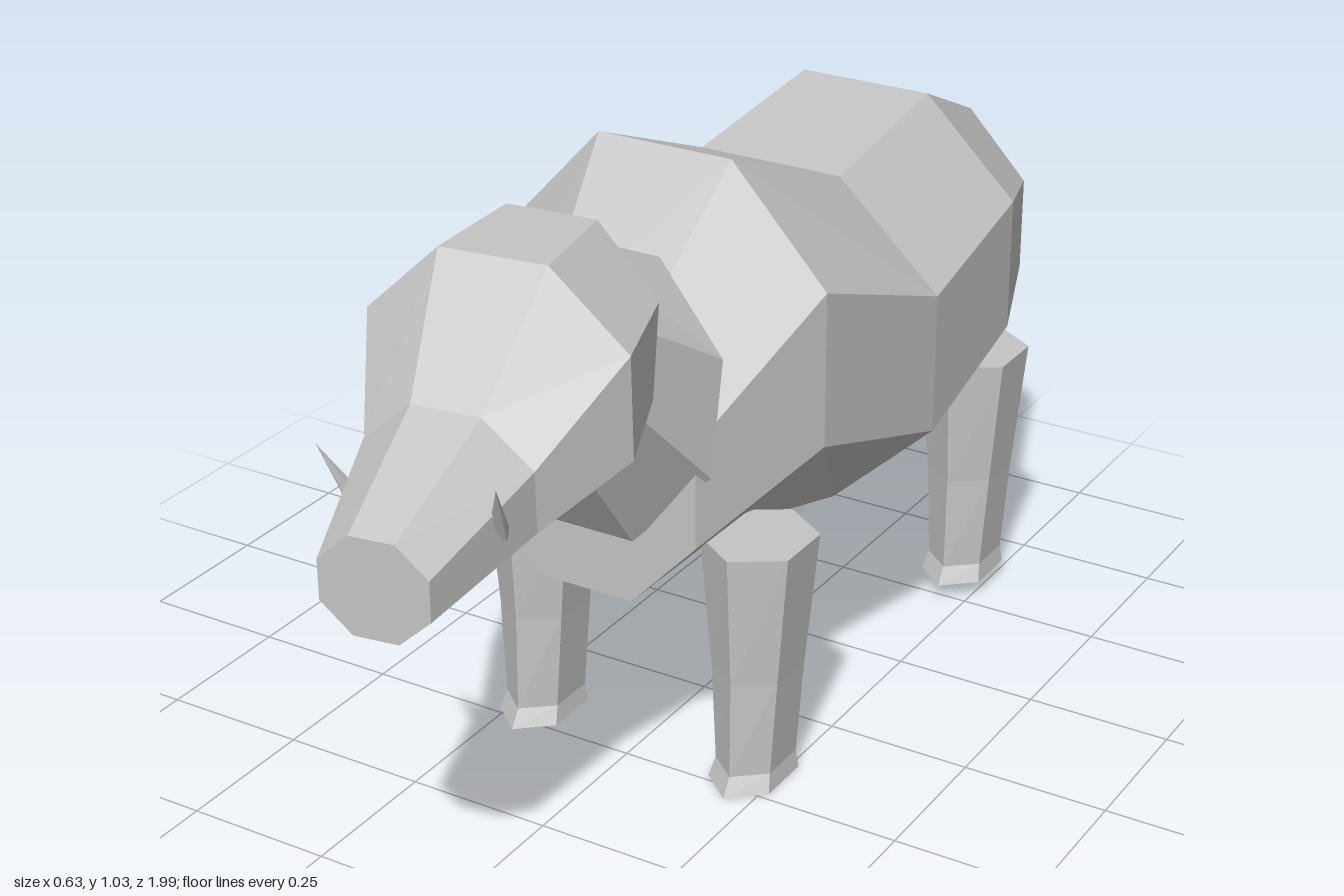
import * as THREE from 'three';

const hide = new THREE.MeshStandardMaterial({ color: 0xc4c4c4, flatShading: true });
hide.name = 'grey hide';

// Skins a list of equal rings, closing both ends.
function loft(rings) {
  const n = rings[0].length, pos = [];
  const tri = (a, b, c) => pos.push(...a, ...b, ...c);
  for (let i = 0; i < rings.length - 1; i++) {
    for (let j = 0; j < n; j++) {
      const k = (j + 1) % n, r = rings[i], s = rings[i + 1];
      tri(r[j], r[k], s[k]);
      tri(r[j], s[k], s[j]);
    }
  }
  const first = rings[0], last = rings[rings.length - 1];
  for (let j = 1; j < n - 1; j++) {
    tri(first[0], first[j + 1], first[j]);
    tri(last[0], last[j], last[j + 1]);
  }
  const g = new THREE.BufferGeometry();
  g.setAttribute('position', new THREE.Float32BufferAttribute(pos, 3));
  g.computeVertexNormals();
  return g;
}

// Octagon facing +z with a flat top; tilt and yaw shift z along y and x.
function octagon([cx, top, bottom, z, halfWidth, tilt = 0, yaw = 0]) {
  const R = 1 / Math.cos(Math.PI / 8), ring = [];
  for (let j = 0; j < 8; j++) {
    const a = (j + 0.5) * Math.PI / 4;
    const dx = Math.cos(a) * R * halfWidth, dy = Math.sin(a) * R * (top - bottom) / 2;
    ring.push([cx + dx, (top + bottom) / 2 + dy, z + dy * tilt + dx * yaw]);
  }
  return ring;
}

// Hexagon facing +y with corners towards the front and back.
function hexagon([y, z, halfWidth, halfDepth]) {
  const ring = [];
  for (let j = 0; j < 6; j++) {
    const a = (j + 0.5) * Math.PI / 3;
    ring.push([Math.cos(a) / Math.cos(Math.PI / 6) * halfWidth, y, z - Math.sin(a) * halfDepth]);
  }
  return ring;
}

export function createModel() {
  const model = new THREE.Group();
  model.name = 'animal';
  const add = (name, geometry) => {
    const m = new THREE.Mesh(geometry, hide);
    m.name = name;
    model.add(m);
    return m;
  };

  // Trunk, from rump to chest
  add('body', loft([
    [0, 0.82, 0.42, -0.80, 0.19],
    [0, 0.935, 0.375, -0.54, 0.29],
    [0, 0.895, 0.31, -0.21, 0.315],
    [0, 1.03, 0.40, 0.12, 0.29],
    [0, 0.79, 0.365, 0.36, 0.20],
  ].map(octagon)));

  // Neck, leaning up into the head
  add('neck', loft([
    [0, 0.92, 0.475, 0.322, 0.215, -0.19],
    [0, 0.97, 0.68, 0.47, 0.17, -0.24],
  ].map(octagon)));

  // Head, turned slightly to its left, ending in a flat snout
  add('head', loft([
    [0.003, 1.03, 0.67, 0.46, 0.18, -0.12, -0.1],
    [0.025, 1.03, 0.63, 0.615, 0.21, 0.03, -0.12],
    [0.037, 0.85, 0.615, 0.76, 0.135, 0.03, -0.12],
    [0.067, 0.755, 0.60, 0.985, 0.085, 0, -0.15],
  ].map(octagon)));

  // Tusks
  const tusks = [
    ['rightTusk', [-0.07, 0.70, 0.83], [-0.107, 0.81, 0.875]],
    ['leftTusk', [0.155, 0.71, 0.81], [0.19, 0.81, 0.865]],
  ];
  for (const [name, from, to] of tusks) {
    const a = new THREE.Vector3(...from), b = new THREE.Vector3(...to);
    const tusk = add(name, new THREE.ConeGeometry(0.016, a.distanceTo(b), 5));
    tusk.position.copy(a).lerp(b, 0.5);
    tusk.quaternion.setFromUnitVectors(new THREE.Vector3(0, 1, 0), b.sub(a).normalize());
  }

  // Tail, drooping to its right
  add('tail', loft([
    [-0.034, 0.578, 0.558, -0.997, 0.016],
    [-0.02, 0.69, 0.628, -0.91, 0.033],
    [-0.003, 0.78, 0.69, -0.79, 0.045],
    [0, 0.79, 0.72, -0.74, 0.045],
  ].map(octagon)));

  // Four matching legs with flared hooves
  const leg = loft([
    [0, 0.187, 0.057, 0.098],
    [0.03, 0.18, 0.051, 0.085],
    [0.2, 0.175, 0.061, 0.088],
    [0.43, 0.172, 0.08, 0.104],
  ].map(hexagon));
  for (const [side, sx] of [['left', 1], ['right', -1]]) {
    add(side + 'FrontLeg', leg).position.set(sx * 0.206, 0, 0);
    add(side + 'BackLeg', leg).position.set(sx * 0.206, 0.03, -0.763);
  }
  return model;
}
